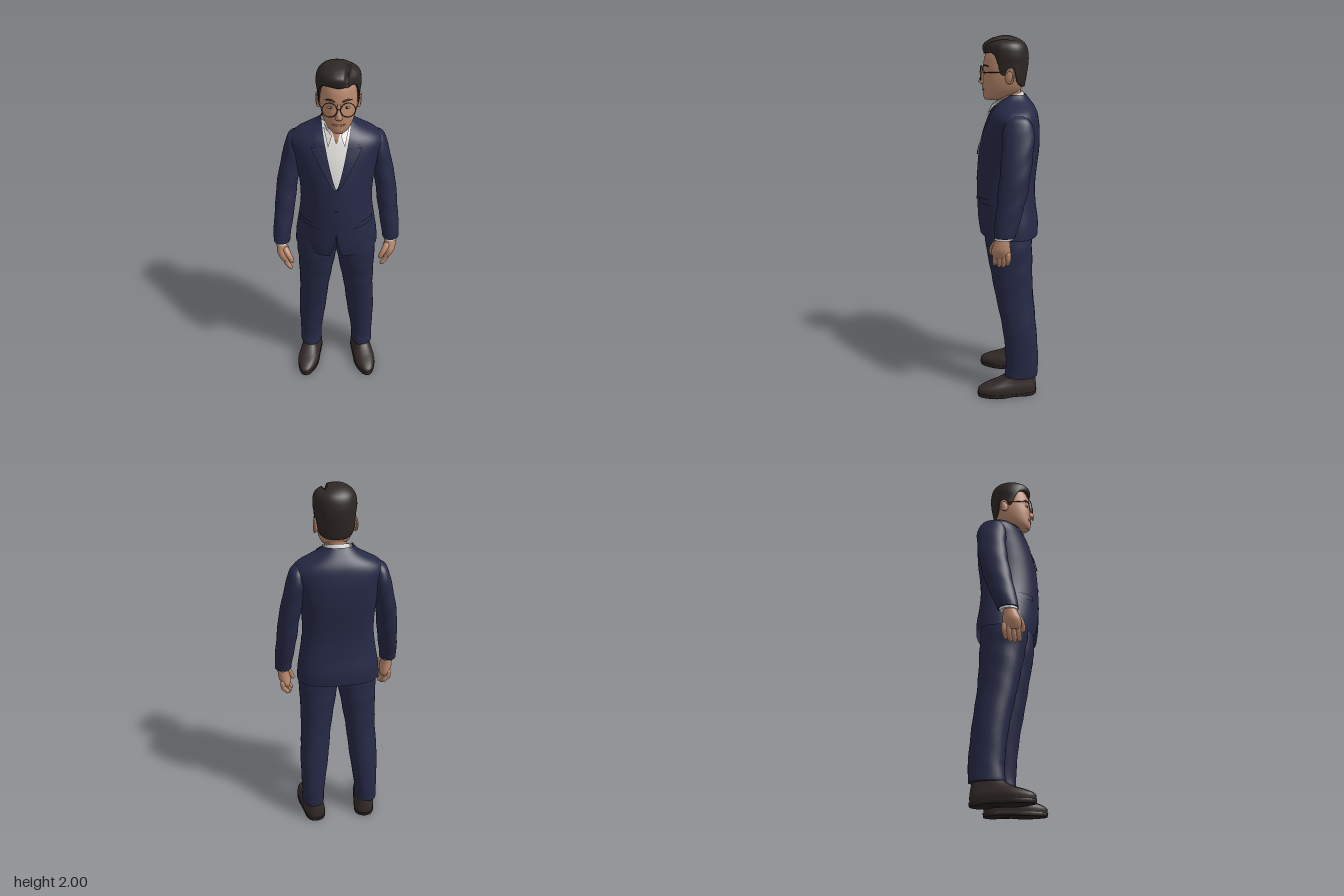
import * as THREE from 'three';

const mat = (name, color, side = THREE.FrontSide) => {
  const m = new THREE.MeshStandardMaterial({ color, side });
  m.name = name;
  return m;
};
const M = {
  navy: mat('navy cloth', 0x262946, THREE.DoubleSide),
  shirt: mat('white cotton', 0xe0deda, THREE.DoubleSide),
  skin: mat('skin', 0xba886d),
  hair: mat('dark hair', 0x2e2725, THREE.DoubleSide),
  shoe: mat('brown leather', 0x332a28),
  sole: mat('dark rubber', 0x272120),
  frame: mat('glasses frame', 0x4a3028),
  lips: mat('lips', 0xa36c5b),
  eye: mat('eye white', 0xcfc4ba),
};

const add = (parent, name, geo, material) => {
  const m = new THREE.Mesh(geo, material);
  m.name = name;
  parent.add(m);
  return m;
};

// Smooth surface from f(u, v) -> [x, y, z]
function grid(nu, nv, f, wrap = true) {
  const pos = [], idx = [], w = wrap ? nu : nu + 1;
  for (let j = 0; j <= nv; j++) for (let i = 0; i < w; i++) pos.push(...f(i / nu, j / nv, j));
  for (let j = 0; j < nv; j++) for (let i = 0; i < nu; i++) {
    const a = j * w + i, b = j * w + (i + 1) % w;
    idx.push(a, b, b + w, a, b + w, a + w);
  }
  const g = new THREE.BufferGeometry();
  g.setAttribute('position', new THREE.Float32BufferAttribute(pos, 3));
  g.setIndex(idx);
  g.computeVertexNormals();
  return g;
}

// Smooth lookup in a table whose first column ascends
function sample(rows, y) {
  let i = 0;
  while (i < rows.length - 2 && y > rows[i + 1][0]) i++;
  const a = rows[i], b = rows[i + 1], p = rows[i - 1] || a, n = rows[i + 2] || b;
  const h = b[0] - a[0], t = THREE.MathUtils.clamp((y - a[0]) / h, 0, 1), t2 = t * t, t3 = t2 * t;
  return a.map((_, k) => {
    const m0 = (b[k] - p[k]) / (b[0] - p[0]) * h, m1 = (n[k] - a[k]) / (n[0] - a[0]) * h;
    return (2 * t3 - 3 * t2 + 1) * a[k] + (t3 - 2 * t2 + t) * m0 + (3 * t2 - 2 * t3) * b[k] + (t3 - t2) * m1;
  });
}

// Point on a cross-section row [y, cx, cz, rx, zFront, zBack]; angle 0 faces front
function section([, cx, cz, rx, zf, zb], t, off = 0, ef = 1, eb = ef, k = 1) {
  const s = Math.sin(t), c = Math.cos(t), e = c > 0 ? ef : eb;
  return [cx + k * Math.sign(s) * Math.abs(s) ** e * (rx + off),
    cz + k * Math.sign(c) * Math.abs(c) ** e * ((c > 0 ? zf : zb) + off)];
}

// Closed, capped body through the rows, with optional cloth folds
function loft(rows, { nu = 32, sub = 5, e = 1, fold = 0 } = {}) {
  const rings = [];
  for (let i = 0; i < rows.length - 1; i++) for (let k = 0; k < sub; k++) {
    rings.push([rows[i][0] + (rows[i + 1][0] - rows[i][0]) * k / sub, 1]);
  }
  const lo = rows[0][0], hi = rows[rows.length - 1][0];
  rings.push([hi, 1], [hi, 0.96], [hi, 0]);
  rings.unshift([lo, 0], [lo, 0.96]);
  return grid(nu, rings.length - 1, (u, v, j) => {
    const [y, k] = rings[j], t = u * Math.PI * 2;
    const ripple = 1 + fold * Math.sin(y * 45 + 2 * Math.sin(t) + 3 * Math.cos(t));
    const [x, z] = section(sample(rows, y), t, 0, e, e, k * ripple);
    return [x, y, z];
  });
}

// Round-ended tapered tube along points
function limb(points, r0, r1) {
  const curve = new THREE.CatmullRomCurve3(points.map(p => new THREE.Vector3(...p)));
  const n = 14, fr = curve.computeFrenetFrames(n);
  return grid(10, n, (u, v, j) => {
    const a = u * Math.PI * 2, end = Math.sqrt(Math.max(0, 1 - Math.abs(2 * v - 1) ** 6));
    const r = (r0 + (r1 - r0) * v) * end;
    return curve.getPointAt(v).addScaledVector(fr.normals[j], r * Math.cos(a))
      .addScaledVector(fr.binormals[j], r * Math.sin(a)).toArray();
  });
}

const TORSO = [
  [0.935, 0, -0.03, 0.23, 0.185, 0.137], [1.0, 0, -0.03, 0.226, 0.195, 0.138],
  [1.1, 0, -0.03, 0.21, 0.2, 0.125], [1.2, 0, -0.03, 0.196, 0.202, 0.12],
  [1.3, 0, -0.03, 0.196, 0.198, 0.128], [1.4, 0, -0.03, 0.208, 0.188, 0.14],
  [1.5, 0, -0.03, 0.228, 0.165, 0.142], [1.57, 0, -0.03, 0.242, 0.14, 0.135],
  [1.61, 0, -0.03, 0.213, 0.123, 0.125], [1.645, 0, -0.03, 0.145, 0.1, 0.105],
  [1.675, 0, -0.03, 0.093, 0.075, 0.08], [1.705, 0, -0.03, 0.076, 0.055, 0.06]];

// Half width of the jacket front opening
const vEdge = y => y > 1.375 ? 0.004 + 0.071 * ((y - 1.375) / 0.31) ** 0.8
  : y < 1.09 ? 0.002 + 0.035 * ((1.09 - y) / 0.155) ** 2 : 0;
const shirtEdge = y => Math.max(0, (y - 1.6) * 0.5);

// Torso shell left open at the front
function shell(y0, y1, off, edge) {
  return grid(72, 48, (u, v) => {
    const y = y0 + (y1 - y0) * v, r = sample(TORSO, y);
    const t0 = Math.asin(Math.min(1, edge(y) / r[3]));
    const [x, z] = section(r, t0 + u * 2 * (Math.PI - t0), off, 1, 0.8);
    return [x, y, z];
  }, false);
}

// Patch lying on the torso front, between two x edges
function patch(xa, xb, y0, y1, offA, offB = offA) {
  return grid(8, 14, (u, v) => {
    const y = y0 + (y1 - y0) * v, r = sample(TORSO, y), x = xa(y) + (xb(y) - xa(y)) * u;
    const t = Math.asin(THREE.MathUtils.clamp(x / r[3], -1, 1));
    const p = section(r, t, offA + (offB - offA) * u);
    return [p[0], y, p[1]];
  }, false);
}

function buildJacket(root) {
  const g = new THREE.Group();
  g.name = 'jacket';
  root.add(g);
  add(g, 'jacketBody', shell(0.935, 1.695, 0, vEdge), M.navy);
  for (const s of [1, -1]) {
    const width = y => 0.008 + 0.062 * Math.min(1, (y - 1.37) / 0.2);
    add(g, 'lapel', patch(y => s * vEdge(y), y => s * (vEdge(y) + width(y)), 1.37, 1.58, 0.003, 0.009), M.navy);
    add(g, 'upperLapel', patch(y => s * vEdge(y), y => s * (vEdge(y) + 0.05 - (y - 1.59) * 0.35), 1.59, 1.675, 0.004, 0.007), M.navy);
    add(g, 'pocketFlap', patch(() => s * 0.09, () => s * 0.19, 1.12, 1.15, 0.006), M.navy);
  }
  for (const y of [1.235, 1.125]) {
    const r = sample(TORSO, y);
    const b = add(g, 'button', new THREE.CylinderGeometry(0.008, 0.008, 0.005, 16), M.navy);
    b.rotation.x = Math.PI / 2;
    b.position.set(0, y, r[2] + r[4] + 0.001);
  }
}

function buildShirt(root) {
  add(root, 'shirt', shell(1.3, 1.685, -0.007, shirtEdge), M.shirt);
  // stand collar, lower at the front
  add(root, 'shirtCollar', grid(40, 6, (u, v) => {
    const t = 0.4 + u * 2 * (Math.PI - 0.4), top = 1.685 - 0.027 * Math.cos(t);
    const r = 0.076 - 0.007 * v;
    return [0.004 + r * Math.sin(t), top - 0.06 * (1 - v), -0.006 + 0.015 * Math.cos(t) * (1 - v) + (r + 0.006) * Math.cos(t)];
  }, false), M.shirt);
  for (const s of [1, -1]) {
    const a = [0.022, 1.64, 0.085], b = [0.066, 1.672, 0.045], tip = [0.042, 1.588, 0.112];
    add(root, 'collarPoint', grid(4, 4, (u, v) => a.map((_, k) =>
      (k ? 1 : s) * ((a[k] + (b[k] - a[k]) * u) * (1 - v) + tip[k] * v)), false), M.shirt);
  }
}

function buildArm(root, s) {
  const g = new THREE.Group();
  g.name = s > 0 ? 'leftArm' : 'rightArm';
  root.add(g);
  // the right forearm hangs slightly further forward
  const swing = y => s > 0 ? 0 : 0.04 * THREE.MathUtils.clamp((1.5 - y) / 0.5, 0, 1) ** 1.6;
  const place = rows => rows.map(([y, x, z, ...r]) => [y, s * x, z + swing(y), ...r]);
  const P = (x, y, z) => [s * x, y, z + swing(y)];
  add(g, 'sleeve', loft(place([
    [0.985, 0.303, 0.015, 0.046, 0.057, 0.057], [1.02, 0.301, 0.01, 0.048, 0.061, 0.061],
    [1.1, 0.291, -0.006, 0.052, 0.068, 0.069], [1.2, 0.278, -0.024, 0.055, 0.076, 0.076],
    [1.3, 0.266, -0.038, 0.056, 0.079, 0.079], [1.4, 0.246, -0.049, 0.056, 0.081, 0.081],
    [1.5, 0.226, -0.055, 0.052, 0.083, 0.083], [1.555, 0.22, -0.055, 0.042, 0.073, 0.073],
    [1.585, 0.214, -0.053, 0.034, 0.055, 0.055], [1.603, 0.205, -0.05, 0.018, 0.03, 0.03]]),
  { e: 0.93, fold: 0.018 }), M.navy);
  add(g, 'shirtCuff', loft(place([
    [0.972, 0.303, 0.02, 0.039, 0.048, 0.048], [1.0, 0.302, 0.015, 0.04, 0.05, 0.05]])), M.shirt);
  add(g, 'palm', loft(place([
    [0.865, 0.287, 0.032, 0.02, 0.042, 0.042], [0.885, 0.291, 0.033, 0.029, 0.05, 0.05],
    [0.915, 0.298, 0.033, 0.034, 0.051, 0.048], [0.945, 0.302, 0.03, 0.032, 0.043, 0.042],
    [0.985, 0.302, 0.024, 0.03, 0.034, 0.034]])), M.skin);
  for (let i = 0; i < 4; i++) {
    const z = -0.004 + i * 0.023, drop = [0.015, 0.003, 0, 0.008][i], inward = 0.014 - 0.009 * i;
    add(g, 'finger', limb([P(0.296 + inward, 0.905, z), P(0.293 + inward, 0.86, z), P(0.281 + inward, 0.83 + drop, z + 0.002),
      P(0.262 + inward, 0.806 + drop, z + 0.004)], 0.016, 0.012), M.skin);
  }
  add(g, 'thumb', limb([P(0.29, 0.955, 0.05), P(0.267, 0.92, 0.077), P(0.251, 0.89, 0.085), P(0.243, 0.865, 0.082)],
    0.02, 0.012), M.skin);
}

function buildLeg(root, s) {
  add(root, 'trouserLeg', loft([
    [0.115, 0.161, -0.075, 0.065, 0.092, 0.094], [0.2, 0.159, -0.08, 0.066, 0.09, 0.094],
    [0.4, 0.147, -0.065, 0.081, 0.095, 0.096], [0.6, 0.131, -0.035, 0.086, 0.105, 0.106],
    [0.75, 0.119, -0.018, 0.098, 0.116, 0.118], [0.83, 0.113, -0.01, 0.105, 0.122, 0.125],
    [0.9, 0.109, -0.003, 0.112, 0.128, 0.13], [1.05, 0.1, 0, 0.1, 0.125, 0.125]]
    .map(([y, x, ...r]) => [y, s * x, ...r]), { e: 0.92, fold: 0.012 }), M.navy);

  const shoe = new THREE.Group();
  shoe.name = s > 0 ? 'leftShoe' : 'rightShoe';
  shoe.position.set(s * 0.155, 0, -0.08);
  shoe.rotation.y = s * 0.17;
  root.add(shoe);
  // widen the ball of the foot and lift the arch
  const shape = geo => {
    const p = geo.attributes.position;
    for (let i = 0; i < p.count; i++) {
      const z = p.getZ(i);
      p.setX(i, p.getX(i) * (1 + 0.2 * Math.exp(-(((z - 0.16) / 0.08) ** 2))));
      if (p.getY(i) < 0.012) p.setY(i, p.getY(i) + 0.012 * Math.exp(-(((z - 0.035) / 0.03) ** 2)));
    }
    geo.computeVertexNormals();
    return geo;
  };
  add(shoe, 'shoeUpper', shape(loft([
    [0.018, 0, 0, 0.058, 0.254, 0.082], [0.045, 0, 0, 0.06, 0.252, 0.083], [0.066, 0, 0, 0.057, 0.215, 0.082],
    [0.085, 0, 0, 0.052, 0.158, 0.08], [0.11, 0, 0, 0.047, 0.108, 0.076], [0.14, 0, 0, 0.043, 0.08, 0.07],
    [0.17, 0, 0, 0.04, 0.065, 0.065]], { e: 0.82 })), M.shoe);
  add(shoe, 'shoeSole', shape(loft([
    [0, 0, 0, 0.06, 0.254, 0.084], [0.02, 0, 0, 0.061, 0.258, 0.086]], { e: 0.82, sub: 2 })), M.sole);
}

function buildHead(root) {
  const g = new THREE.Group();
  g.name = 'head';
  g.position.x = 0.011;
  root.add(g);
  add(g, 'neck', loft([
    [1.56, -0.01, 0, 0.06, 0.085, 0.06], [1.62, -0.008, -0.005, 0.06, 0.08, 0.06],
    [1.67, -0.004, -0.005, 0.059, 0.062, 0.06], [1.77, 0, -0.01, 0.06, 0.06, 0.065]]), M.skin);
  add(g, 'face', loft([
    [1.667, 0, 0.085, 0.028, 0.037, 0.04], [1.68, 0, 0.06, 0.05, 0.07, 0.075], [1.7, 0, 0.03, 0.068, 0.103, 0.08],
    [1.73, 0, 0.01, 0.082, 0.124, 0.085], [1.77, 0, 0, 0.092, 0.134, 0.09], [1.81, 0, 0, 0.096, 0.129, 0.095],
    [1.84, 0, 0, 0.096, 0.131, 0.096], [1.9, 0, 0, 0.092, 0.119, 0.095], [1.94, 0, 0, 0.075, 0.09, 0.08],
    [1.965, 0, 0, 0.04, 0.05, 0.045]], { nu: 48, e: 0.92 }), M.skin);
  add(g, 'nose', loft([
    [1.746, 0, 0.125, 0.013, 0.015, 0.01], [1.756, 0, 0.125, 0.02, 0.029, 0.01], [1.772, 0, 0.125, 0.015, 0.029, 0.01],
    [1.8, 0, 0.12, 0.01, 0.021, 0.01], [1.835, 0, 0.118, 0.009, 0.014, 0.01]], { nu: 20 }), M.skin);
  add(g, 'mouth', limb([[-0.034, 1.722, 0.125], [-0.017, 1.72, 0.131], [0, 1.719, 0.134], [0.017, 1.72, 0.131],
    [0.034, 1.722, 0.125]], 0.0045, 0.0045), M.lips);
  const ball = new THREE.SphereGeometry(1, 20, 14);
  for (const s of [1, -1]) {
    const eye = add(g, 'eye', ball, M.eye);
    eye.scale.set(0.015, 0.0055, 0.007);
    eye.position.set(s * 0.04, 1.808, 0.118);
    const iris = add(g, 'iris', ball, M.sole);
    iris.scale.set(0.0055, 0.0055, 0.004);
    iris.position.set(s * 0.04, 1.808, 0.1225);
    add(g, 'eyebrow', limb([[s * 0.017, 1.84, 0.129], [s * 0.042, 1.847, 0.12], [s * 0.068, 1.84, 0.095]], 0.005, 0.0035), M.hair);
    const ear = add(g, 'ear', ball, M.skin);
    ear.scale.set(0.012, 0.038, 0.023);
    ear.position.set(s * 0.099, 1.792, -0.008);
    ear.rotation.set(-0.15, s * -0.3, 0);
    const rim = add(g, 'earRim', new THREE.TorusGeometry(0.02, 0.005, 8, 20), M.skin);
    rim.scale.y = 1.6;
    rim.position.set(s * 0.105, 1.793, -0.011);
    rim.rotation.y = Math.PI / 2 - s * 0.3;
    // spectacles
    const lens = add(g, 'glassesRim', new THREE.TorusGeometry(0.036, 0.0022, 8, 36), M.frame);
    lens.position.set(s * 0.044, 1.805, 0.142);
    lens.rotation.y = s * 0.12;
    add(g, 'glassesTemple', limb([[s * 0.079, 1.812, 0.138], [s * 0.096, 1.813, 0.08], [s * 0.104, 1.812, 0]], 0.002, 0.002), M.frame);
  }
  add(g, 'glassesBridge', limb([[-0.01, 1.808, 0.146], [0, 1.813, 0.149], [0.01, 1.808, 0.146]], 0.0022, 0.0022), M.frame);

  // hair: hairline height by angle, then a dome with a side parting
  const hairline = [[0, 1.905], [0.5, 1.913], [0.85, 1.9], [1.1, 1.86], [1.25, 1.805], [1.42, 1.8], [1.55, 1.83],
    [1.85, 1.83], [2.05, 1.765], [2.5, 1.74], [3.15, 1.735]];
  const dome = [
    [1.72, 0, -0.01, 0.085, 0.1, 0.075], [1.78, 0, -0.005, 0.101, 0.11, 0.092], [1.85, 0, 0, 0.106, 0.126, 0.108],
    [1.9, 0, 0, 0.112, 0.126, 0.109], [1.95, 0, 0, 0.102, 0.131, 0.096], [1.98, -0.006, 0.005, 0.068, 0.088, 0.066],
    [1.995, -0.01, 0.01, 0.03, 0.036, 0.03], [2, -0.01, 0.01, 0, 0, 0]];
  const ease = THREE.MathUtils.smoothstep;
  add(g, 'hair', grid(96, 32, (u, v, j) => {
    const t = u * Math.PI * 2, low = sample(hairline, Math.min(t, Math.PI * 2 - t))[1];
    const y = low + (2 - low) * Math.sin(Math.max(0, (j - 1) / 31) * Math.PI / 2);
    const [x, z] = section(sample(dome, y), t, 0, 0.92, 0.95, j === 0 ? 0.88 : 1);
    const part = Math.exp(-(((x - 0.052 + z * 0.1) / 0.009) ** 2)) * ease(z, -0.06, 0.02) * ease(y, 1.9, 1.94);
    const recede = ease(x, 0.05, 0.065) * ease(z, 0.03, 0.09);
    return [x, y - 0.02 * part, z - 0.012 * part - 0.016 * recede];
  }), M.hair);
}

export function createModel() {
  const root = new THREE.Group();
  root.name = 'manInSuit';
  buildJacket(root);
  buildShirt(root);
  for (const s of [1, -1]) {
    buildArm(root, s);
    buildLeg(root, s);
  }
  buildHead(root);
  return root;
}
